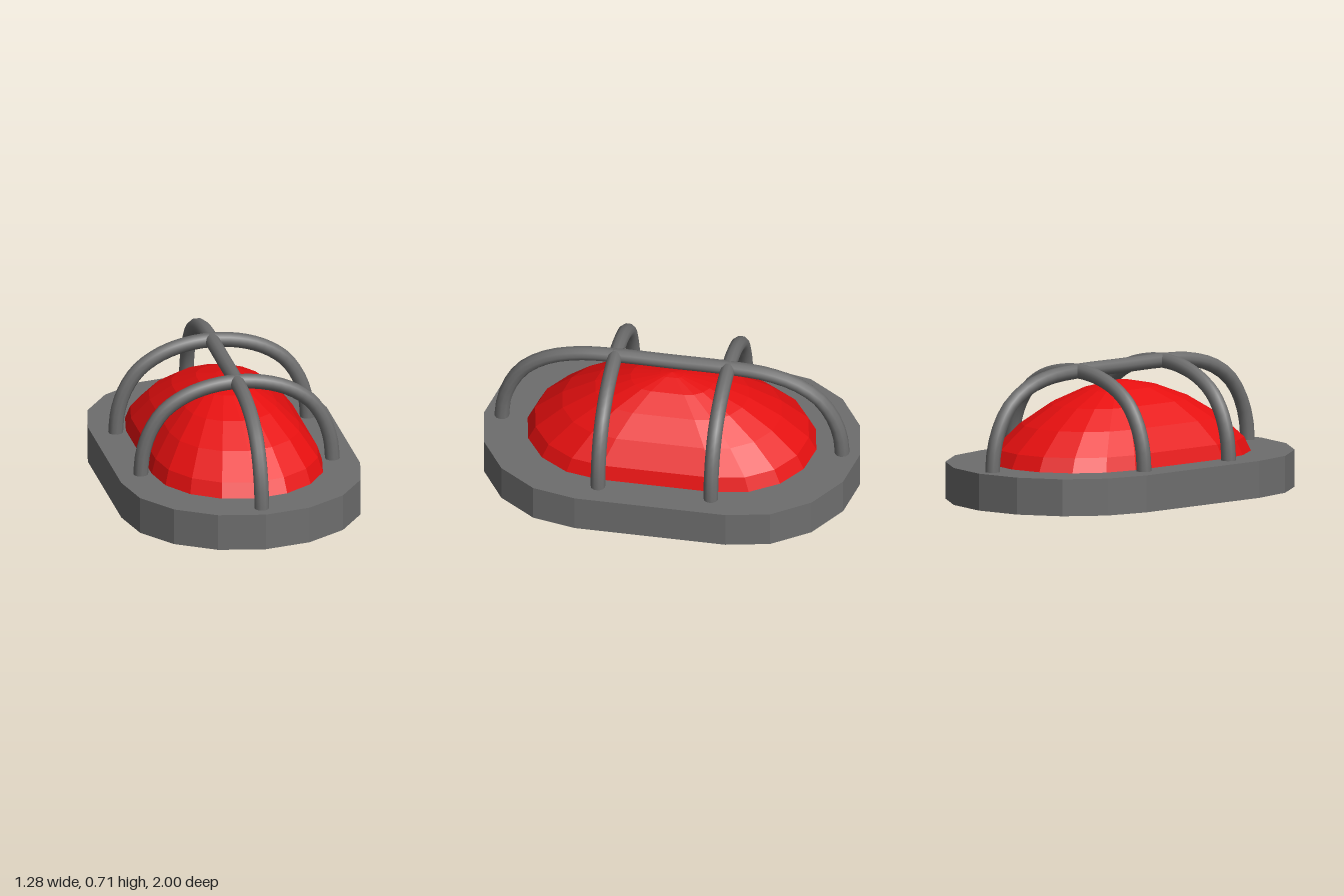
import * as THREE from 'three';

// Rounded-end outline as [x, z] points: two half ellipses joined by straight sides
function stadium(rx, rz, offset, steps = 8) {
  const points = [];
  for (const side of [0, 1]) {
    for (let i = 0; i <= steps; i++) {
      const a = Math.PI * (side + i / steps);
      points.push([rx * Math.cos(a), rz * Math.sin(a) + (side ? -offset : offset)]);
    }
  }
  return points;
}

// Faceted dome: the outline shrinks ring by ring towards the top
function domeGeometry(outline, rings) {
  const n = outline.length;
  const positions = [];
  const index = [];
  for (const [scale, y] of rings) {
    for (const [x, z] of outline) positions.push(x * scale, y, z * scale);
  }
  for (let r = 0; r < rings.length - 1; r++) {
    for (let i = 0; i < n; i++) {
      const a = r * n + i;
      const b = r * n + (i + 1) % n;
      index.push(a, a + n, b);
      if (rings[r + 1][0] > 0) index.push(b, a + n, b + n);
    }
  }
  const geometry = new THREE.BufferGeometry();
  geometry.setAttribute('position', new THREE.Float32BufferAttribute(positions, 3));
  geometry.setIndex(index);
  const flat = geometry.toNonIndexed();
  flat.computeVertexNormals();
  return flat;
}

// Bent bar from half a profile of [distance, y], mirrored over the middle
function hoopGeometry(half, toPoint) {
  const mirrored = half.slice(0, -1).reverse().map(([d, y]) => [-d, y]);
  const path = [...half, ...mirrored].map(([d, y]) => toPoint(d, y));
  return new THREE.TubeGeometry(new THREE.CatmullRomCurve3(path), 36, 0.039, 10);
}

export function createModel() {
  const grey = new THREE.MeshStandardMaterial({ color: 0x6e6e6e });
  grey.name = 'greyMetal';
  const red = new THREE.MeshStandardMaterial({ color: 0xe60f0f });
  red.name = 'redLens';

  const model = new THREE.Group();
  model.name = 'cagedLamp';
  const add = (name, geometry, material) => {
    const mesh = new THREE.Mesh(geometry, material);
    mesh.name = name;
    model.add(mesh);
    return mesh;
  };

  // Base plate
  const outline = stadium(0.64, 0.6, 0.4).map(([x, z]) => new THREE.Vector2(x, z));
  const base = new THREE.ExtrudeGeometry(new THREE.Shape(outline), { depth: 0.195, bevelEnabled: false });
  base.rotateX(-Math.PI / 2);
  add('basePlate', base, grey);

  // Lens
  const rings = [[1, 0.19], [0.945, 0.27], [0.757, 0.39], [0.53, 0.49], [0.285, 0.56], [0.08, 0.592], [0, 0.6]];
  add('lens', domeGeometry(stadium(0.458, 0.46, 0.31), rings), red);

  // Cage: one bar along the lamp, two across it
  const longHalf = [[0.905, 0.15], [0.903, 0.22], [0.89, 0.32], [0.85, 0.43], [0.78, 0.53],
    [0.66, 0.61], [0.5, 0.656], [0.3, 0.67], [0, 0.67]];
  add('longBar', hoopGeometry(longHalf, (d, y) => new THREE.Vector3(0, y, d)), grey);

  const crossHalf = [[0.514, 0.15], [0.512, 0.22], [0.5, 0.32], [0.46, 0.435], [0.39, 0.535],
    [0.28, 0.61], [0.15, 0.654], [0, 0.67]];
  for (const [name, z] of [['frontCrossBar', 0.3], ['backCrossBar', -0.3]]) {
    add(name, hoopGeometry(crossHalf, (d, y) => new THREE.Vector3(d, y, z)), grey);
  }
  return model;
}
